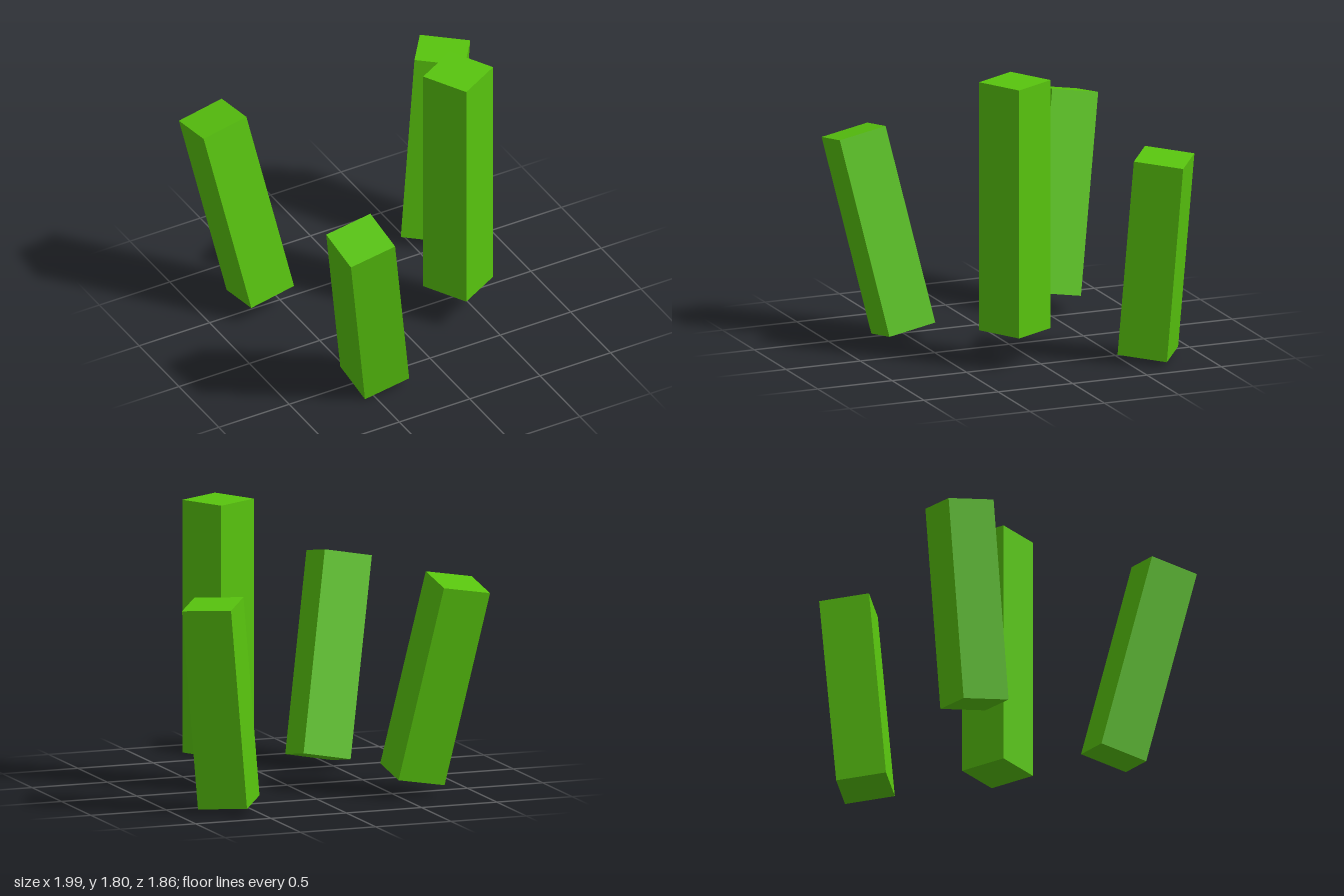
import * as THREE from 'three';

const SIDE = 0.314;
const material = new THREE.MeshStandardMaterial({ color: 0x58c40e, flatShading: true });

// Square blade from the centre of its foot to the centre of its tip;
// "across" is the direction of one edge of its cross-section.
function blade(name, foot, tip, across) {
  const a = new THREE.Vector3(...foot);
  const b = new THREE.Vector3(...tip);
  const up = b.clone().sub(a);
  const length = up.length();
  up.normalize();
  const z = new THREE.Vector3(...across).cross(up).normalize();
  const x = up.clone().cross(z);

  const mesh = new THREE.Mesh(new THREE.BoxGeometry(SIDE, length, SIDE), material);
  mesh.name = name;
  mesh.quaternion.setFromRotationMatrix(new THREE.Matrix4().makeBasis(x, up, z));
  mesh.position.copy(a).add(b).multiplyScalar(0.5);
  return mesh;
}

export function createModel() {
  const group = new THREE.Group();
  group.name = 'grassTuft';
  group.add(
    // tall upright blade
    blade('centreBlade', [0.407, 0.218, 0.135], [0.407, 1.808, 0.135], [0.275, 0, -0.15]),
    // shorter blades leaning outwards
    blade('frontBlade', [-0.412, 0.062, 0.535], [-0.645, 1.289, 0.77], [0.31, 0.06, 0.01]),
    blade('backRightBlade', [-0.625, 0.122, -0.525], [-0.845, 1.352, -0.735], [0.31, 0.055, -0.01]),
    blade('backLeftBlade', [0.646, 0.055, -0.657], [0.774, 1.32, -0.712], [0.255, -0.018, 0.185]),
  );
  return group;
}
